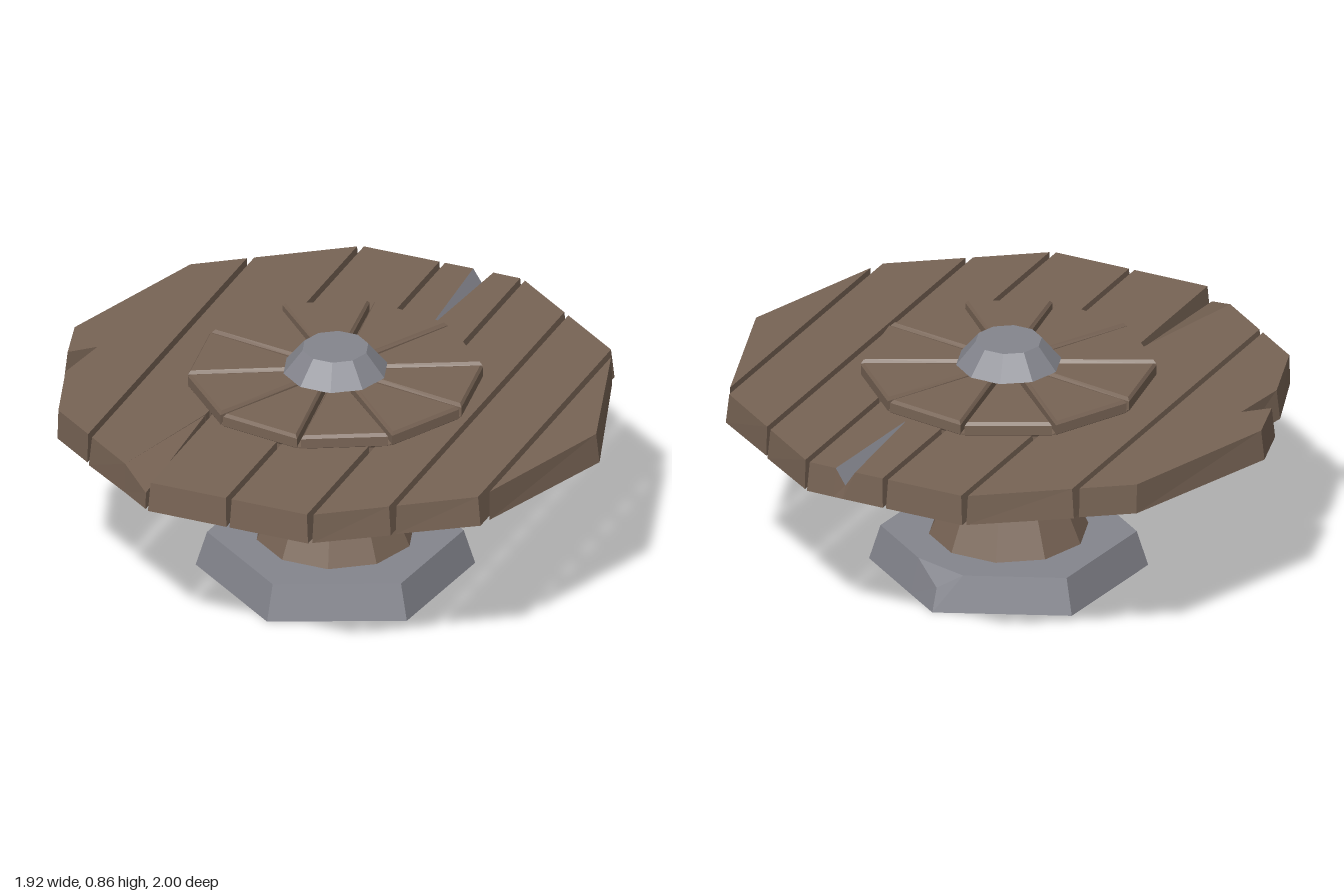
import * as THREE from 'three';

const wood = new THREE.MeshStandardMaterial({ color: 0x786455, side: THREE.DoubleSide });
wood.name = 'brown wood';
const metal = new THREE.MeshStandardMaterial({ color: 0x84858d, side: THREE.DoubleSide });
metal.name = 'grey metal';

const N = [0.588, 0.809]; // direction across the planks, in x and z
const across = p => p[0] * N[0] + p[1] * N[1];

function add(group, name, geometry, material) {
  const mesh = new THREE.Mesh(geometry, material);
  mesh.name = name;
  group.add(mesh);
  return mesh;
}

function flat(geometry) {
  const g = geometry.index ? geometry.toNonIndexed() : geometry;
  g.computeVertexNormals();
  return g;
}

// Prism over points [x, z, optional top y]; foot() places each bottom corner.
// Group 0 is the top face, group 1 the walls and underside.
function prism(points, y0, y1, foot, closed = true) {
  let pts = points;
  let contour = pts.map(p => new THREE.Vector2(p[0], p[1]));
  if (THREE.ShapeUtils.isClockWise(contour)) {
    pts = [...pts].reverse();
    contour.reverse();
  }
  const top = pts.map(p => [p[0], p[2] ?? y1, p[1]]);
  const bottom = pts.map(p => { const f = foot(p); return [f[0], y0, f[1]]; });
  const faces = THREE.ShapeUtils.triangulateShape(contour, []);
  const v = [];
  for (const [a, b, c] of faces) v.push(...top[c], ...top[b], ...top[a]);
  const topCount = v.length / 3;
  if (closed) for (const [a, b, c] of faces) v.push(...bottom[a], ...bottom[b], ...bottom[c]);
  pts.forEach((_, i) => {
    const j = (i + 1) % pts.length;
    v.push(...bottom[i], ...top[i], ...bottom[j], ...bottom[j], ...top[i], ...top[j]);
  });
  const g = new THREE.BufferGeometry();
  g.setAttribute('position', new THREE.Float32BufferAttribute(v, 3));
  g.addGroup(0, topCount, 0);
  g.addGroup(topCount, v.length / 3 - topCount, 1);
  g.computeVertexNormals();
  return g;
}

// Keep the side of a polygon where sign * (across - d) is positive
function clip(poly, d, sign) {
  const out = [];
  poly.forEach((p, i) => {
    const q = poly[(i + 1) % poly.length];
    const a = sign * (across(p) - d), b = sign * (across(q) - d);
    if (a >= 0) out.push(p);
    if (a * b < 0) {
      const t = a / (a - b);
      out.push([p[0] + (q[0] - p[0]) * t, p[1] + (q[1] - p[1]) * t]);
    }
  });
  return out;
}

function tabletop() {
  const group = new THREE.Group();
  group.name = 'tabletop';
  // Ten-sided outline with a bite, a split and a worn corner
  const outline = [
    [0, -0.995], [0.585, -0.805], [0.837, -0.462], [0.487, -0.17], [0.882, -0.4], [0.947, -0.308],
    [0.947, 0.308], [0.585, 0.805], [0, 0.995], [-0.585, 0.805], [-0.947, 0.308],
    [-0.49, -0.03], [-0.947, 0.15], [-0.947, -0.308], [-0.78, -0.54], [-0.59, -0.64],
    [-0.7, -0.66], [-0.585, -0.805],
  ];
  const cuts = [-1.1, -0.63, -0.309, 0, 0.309, 0.55, 0.809, 1.1];
  const gap = 0.011;
  // Planks widen slightly towards the underside
  const footOf = k => {
    const mid = (cuts[k] + cuts[k + 1]) / 2;
    return p => {
      const s = 0.005 * Math.sign(across(p) - mid);
      return [p[0] * 1.008 + N[0] * s, p[1] * 1.008 + N[1] * s];
    };
  };
  const piece = (name, pts, k, topMaterial = wood) =>
    add(group, name, prism(pts, 0.62, 0.73, footOf(k)), [topMaterial, wood]);

  for (let k = 0; k < cuts.length - 1; k++)
    piece('plank', clip(clip(outline, cuts[k] + gap, 1), cuts[k + 1] - gap, -1), k);

  // Sloping worn corner
  piece('wornCorner', [[-0.947, 0.15], [-0.5, -0.033], [-0.947, 0.292, 0.68]], 1);
  // V-shaped split with a grey inside
  const deep = [0.86, -0.431, 0.67], tip = [0.487, -0.17];
  piece('splitSide', [[0.837, -0.462], deep, tip], 3, metal);
  piece('splitSide', [deep, [0.882, -0.4], tip], 3, metal);
  return group;
}

function hub() {
  const group = new THREE.Group();
  group.name = 'hub';
  const turn = -9 * Math.PI / 180, step = Math.PI / 5, R = 0.52;
  const disc = add(group, 'hubDisc', flat(new THREE.CylinderGeometry(R - 0.005, R - 0.005, 0.14, 10)), wood);
  disc.position.y = 0.665;
  disc.rotation.y = turn;
  // Ten bevelled wedges with narrow grooves between them
  for (let i = 0; i < 10; i++) {
    const at = (r, a) => new THREE.Vector2(r * Math.sin(a), r * Math.cos(a));
    const a = turn + i * step, b = a + step;
    const shape = new THREE.Shape([at(0.1, a), at(R + 0.008, a), at(R + 0.008, b), at(0.1, b)]);
    const g = new THREE.ExtrudeGeometry(shape, {
      depth: 0.036, bevelThickness: 0.012, bevelSize: 0.009, bevelOffset: -0.018, bevelSegments: 1,
    });
    g.rotateX(Math.PI / 2);
    g.translate(0, 0.768, 0);
    add(group, 'hubWedge', g, wood);
  }
  const cap = add(group, 'hubCap', flat(new THREE.CylinderGeometry(0.118, 0.187, 0.085, 10)), metal);
  cap.position.y = 0.822;
  return group;
}

function foot() {
  const group = new THREE.Group();
  group.name = 'foot';
  // Flared stem, open at the bottom
  const profile = [[0.295, 0], [0.283, 0.13], [0.185, 0.355], [0.185, 0.61]];
  add(group, 'stem', flat(new THREE.LatheGeometry(profile.map(p => new THREE.Vector2(...p)), 10)), wood);
  // Hollow six-sided base with one chipped corner
  const hex = [...Array(6).keys()].map(i => [0.45 * Math.sin(i * Math.PI / 3), 0.45 * Math.cos(i * Math.PI / 3)]);
  const c1 = [0.39, -0.07], c2 = [0.315, -0.268], corner = [0.4, -0.231, 0.085];
  const spread = p => p === corner ? [0.424, -0.245] : [p[0] * 1.089, p[1] * 1.089];
  add(group, 'base', prism([hex[0], hex[1], c1, c2, hex[3], hex[4], hex[5]], 0, 0.13, spread, false), [metal, metal]);
  add(group, 'chippedCorner', prism([c1, corner, c2], 0, 0.13, spread, false), [metal, metal]);
  return group;
}

export function createModel() {
  const model = new THREE.Group();
  model.name = 'roundTable';
  model.add(tabletop(), hub(), foot());
  return model;
}
